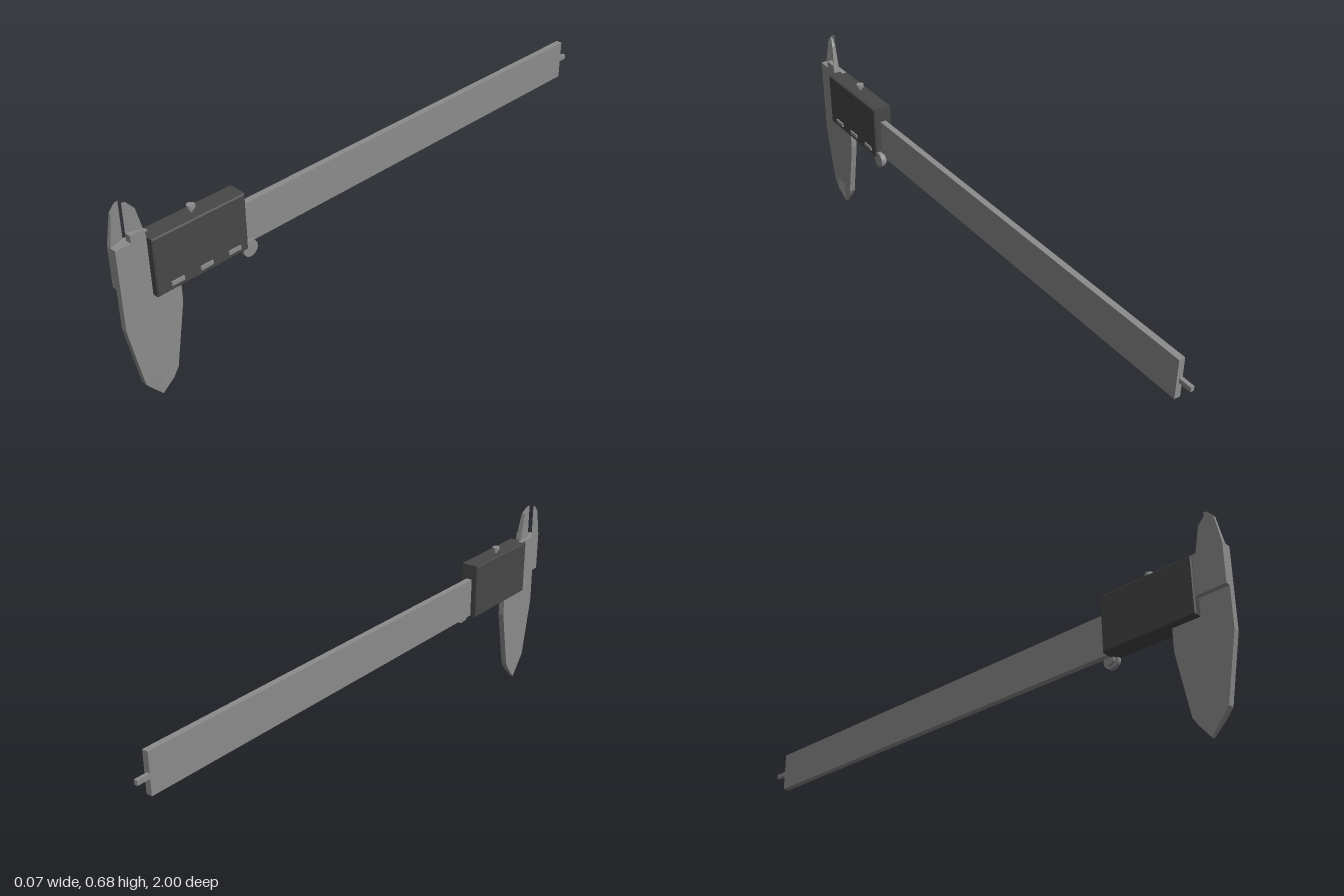
import * as THREE from 'three';

const steel = new THREE.MeshStandardMaterial({ color: 0x8c8c8c });
steel.name = 'steel';
const plastic = new THREE.MeshStandardMaterial({ color: 0x474747 });
plastic.name = 'dark plastic';

// thickness limits of the beam and main jaws along x
const X0 = -0.014, X1 = 0.007;

const toShape = (pts) => new THREE.Shape(pts.map(([z, y]) => new THREE.Vector2(-z, y)));
const rect = (z0, z1, y0, y1) => [[z0, y0], [z1, y0], [z1, y1], [z0, y1]];

// side outline given as [z, y] points, extruded from x0 to x1
function plate(pts, x0, x1, bevel = 0, hole = null) {
  const shape = toShape(pts);
  if (hole) shape.holes.push(toShape(hole));
  const geo = new THREE.ExtrudeGeometry(shape, {
    depth: x1 - x0 - 2 * bevel, bevelEnabled: bevel > 0, bevelSegments: 1,
    bevelSize: bevel, bevelThickness: bevel, bevelOffset: -bevel,
  });
  geo.rotateY(Math.PI / 2);
  geo.translate(x0 + bevel, 0, 0);
  return geo;
}

// solid through horizontal sections { y, ring: [[x, z], ...] }, listed upwards
function loft(sections) {
  const ref = sections[1].ring;
  const n = ref.length;
  let area = 0;
  ref.forEach(([x, z], i) => {
    const [x2, z2] = ref[(i + 1) % n];
    area += z * x2 - z2 * x;
  });
  const rings = sections.map(({ y, ring }) => {
    const r = ring.map(([x, z]) => [x, y, z]);
    return area < 0 ? r.reverse() : r;
  });
  const pos = [];
  const tri = (a, b, c) => pos.push(...a, ...b, ...c);
  for (let k = 0; k < rings.length - 1; k++) {
    for (let i = 0; i < n; i++) {
      const j = (i + 1) % n, lo = rings[k], hi = rings[k + 1];
      tri(lo[i], lo[j], hi[j]);
      tri(lo[i], hi[j], hi[i]);
    }
  }
  const top = rings[rings.length - 1], bottom = rings[0];
  for (let i = 1; i < n - 1; i++) {
    tri(top[0], top[i], top[i + 1]);
    tri(bottom[0], bottom[i + 1], bottom[i]);
  }
  const geo = new THREE.BufferGeometry();
  geo.setAttribute('position', new THREE.Float32BufferAttribute(pos, 3));
  geo.computeVertexNormals();
  return geo;
}

// thinned measuring tip of a lower jaw; side +1 is the fixed jaw, -1 the sliding one
function jawTip(side) {
  const section = (y, w) => ({
    y, ring: [[X0, 0.9], [X0, 0.9 + side * w], [w > 0 ? X1 : -0.003, 0.9 + side * w], [-0.003, 0.9]],
  });
  return loft([section(0, 0), section(0.045, 0.036), section(0.09, 0.036)]);
}

// knife-edged upper blade, sharp along z = 0.95
function blade(side, y0, xBack, xFront) {
  const widths = [[0.56, 0.05], [0.585, 0.045], [0.655, 0.031], [0.677, 0.012], [0.68, 0]];
  return loft(widths.filter(([y]) => y >= y0).map(([y, w]) => ({
    y,
    ring: [[xBack, 0.95], [xBack, 0.95 + side * w],
      [xBack + (xFront - xBack) * w / 0.05, 0.95 + side * w]],
  })));
}

export function createModel() {
  const model = new THREE.Group();
  const add = (name, geo, mat, parent = model) => {
    const mesh = new THREE.Mesh(geo, mat);
    mesh.name = name;
    parent.add(mesh);
    return mesh;
  };
  const group = (name) => {
    const g = new THREE.Group();
    g.name = name;
    model.add(g);
    return g;
  };

  // main beam and depth rod
  add('beam', plate(rect(-0.955, 0.9, 0.368, 0.505), X0, X1), steel);
  add('depthRod', plate(rect(-1, 0.6, 0.422, 0.438), X0 - 0.0004, -0.002), steel);

  // fixed jaw with its upper blade
  const fixed = group('fixedJaw');
  add('fixedJawPlate', plate([
    [0.9, 0.09], [0.936, 0.09], [0.936, 0.045], [0.96, 0.075], [1, 0.29],
    [1, 0.56], [0.95, 0.56], [0.95, 0.585], [0.905, 0.585], [0.9, 0.56],
  ], X0, X1), steel, fixed);
  add('fixedJawTip', jawTip(1), steel, fixed);
  add('fixedUpperBlade', blade(-1, 0.585, X0, X1), steel, fixed);

  // sliding jaw, with its upper blade on an offset plate behind the fixed jaw
  const sliding = group('slidingJaw');
  add('slidingJawPlate', plate([
    [0.9, 0.09], [0.864, 0.09], [0.864, 0.045], [0.845, 0.075], [0.805, 0.29],
    [0.805, 0.4], [0.9, 0.4],
  ], X0, X1), steel, sliding);
  add('slidingJawTip', jawTip(-1), steel, sliding);
  add('offsetPlate', plate(rect(0.88, 1, 0.425, 0.56), -0.03, X0), steel, sliding);
  add('slidingUpperBlade', blade(1, 0.56, -0.03, X0), steel, sliding);

  // display housing: solid base and a raised frame around the screen
  const housing = group('displayHousing');
  const outline = rect(0.575, 0.9, 0.366, 0.558);
  add('housingBase', plate(outline, -0.037, 0.026, 0.004), plastic, housing);
  add('screenFrame', plate(outline, -0.02, 0.031, 0.004, rect(0.598, 0.877, 0.41, 0.54)), plastic, housing);

  // buttons under the screen
  for (const z of [0.832, 0.73, 0.628]) {
    add('button', plate(rect(z - 0.022, z + 0.022, 0.384, 0.397), 0.025, 0.036), steel, housing);
  }

  // locking screw on top
  const screw = group('lockingScrew');
  screw.position.set(-0.008, 0, 0.737);
  add('screwStem', new THREE.CylinderGeometry(0.006, 0.006, 0.03, 16), steel, screw).position.y = 0.56;
  add('screwHead', new THREE.CylinderGeometry(0.013, 0.013, 0.01, 20), steel, screw).position.y = 0.574;

  // thumb wheel
  const wheel = group('thumbWheel');
  wheel.position.set(0, 0.363, 0.566);
  const disc = (name, r, x0, x1) => {
    const geo = new THREE.CylinderGeometry(r, r, x1 - x0, 28);
    geo.rotateZ(Math.PI / 2);
    add(name, geo, steel, wheel).position.x = (x0 + x1) / 2;
  };
  disc('wheelRim', 0.027, 0.014, 0.029);
  disc('wheelHub', 0.018, 0.004, 0.014);

  return model;
}
